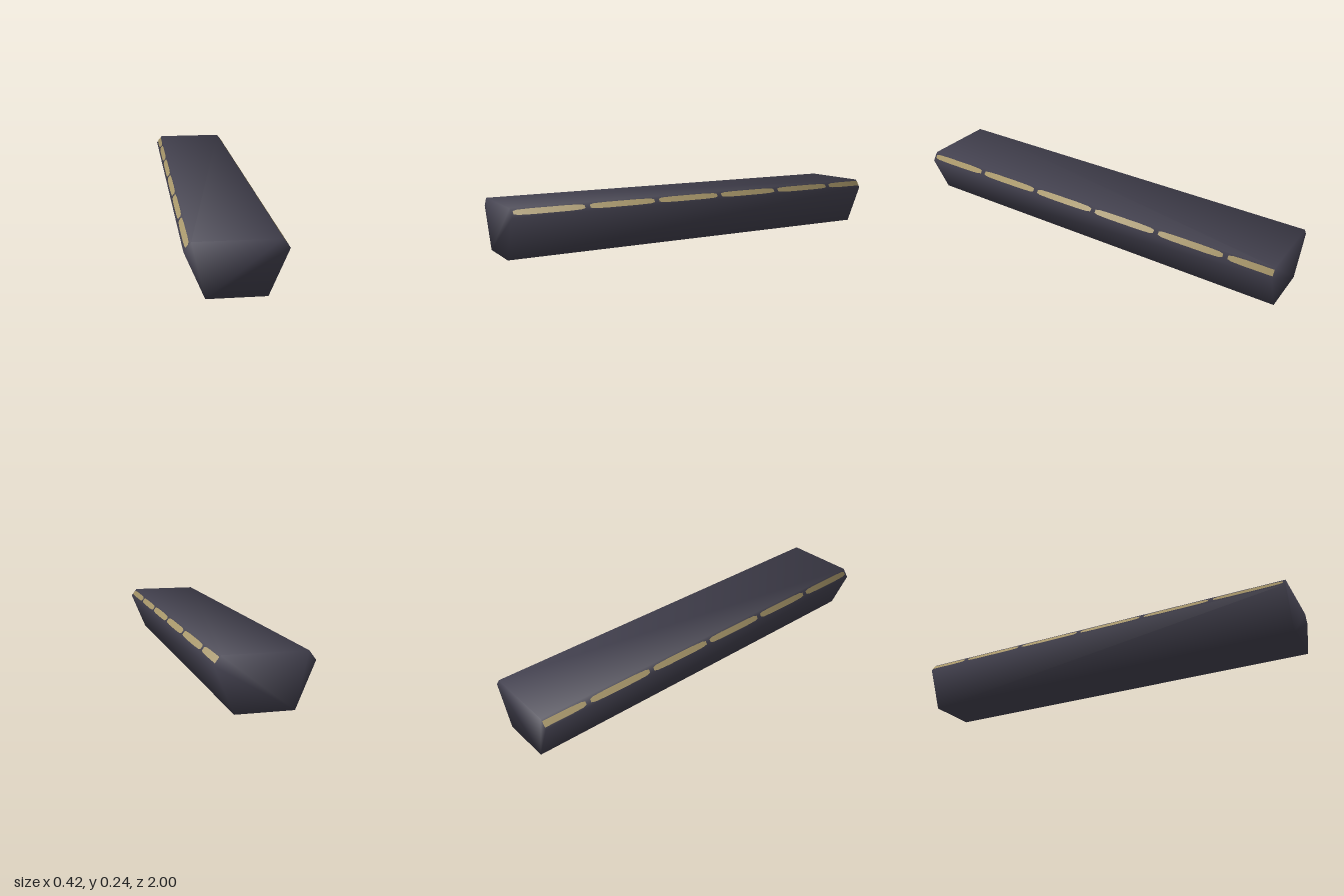
import * as THREE from 'three';

const body = new THREE.MeshStandardMaterial({ color: 0x43414f });
body.name = 'dark slate';
const gold = new THREE.MeshStandardMaterial({ color: 0xa8976a });
gold.name = 'dull gold';

// Cross-section, counter-clockwise seen from the front
const PROFILE = [
  [-0.126, 0], [0.126, 0], [0.21, 0.2], [0.18, 0.24], [-0.18, 0.24], [-0.21, 0.2],
];
const N = PROFILE.length;

function edgeNormal(i) {
  const [ax, ay] = PROFILE[i], [bx, by] = PROFILE[(i + 1) % N];
  return new THREE.Vector3(by - ay, ax - bx, 0).normalize();
}

// Softly shaded prism: each corner shares the mean of its three face normals
function beamGeometry() {
  const positions = [], normals = [], index = [];
  for (const z of [1, -1]) {
    PROFILE.forEach(([x, y], i) => {
      positions.push(x, y, z);
      const n = edgeNormal(i).add(edgeNormal((i + N - 1) % N));
      n.z = z;
      normals.push(...n.normalize().toArray());
    });
  }
  for (let i = 0; i < N; i++) {
    const j = (i + 1) % N, ib = i + N, jb = j + N;
    if (i === 3) index.push(ib, jb, j, ib, j, i);
    else index.push(ib, jb, i, jb, j, i);
  }
  // End caps
  for (let i = 1; i < N - 1; i++) {
    index.push(0, i, i + 1, N, N + i + 1, N + i);
  }
  const g = new THREE.BufferGeometry();
  g.setAttribute('position', new THREE.Float32BufferAttribute(positions, 3));
  g.setAttribute('normal', new THREE.Float32BufferAttribute(normals, 3));
  g.setIndex(index);
  return g;
}

// One thin inlay lying on the bevel of the given side, with tapered ends
function inlayGeometry(side, zStart, length) {
  const taper = [[0, 0.16], [0.06, 0.26], [0.25, 0.3], [0.75, 0.3], [0.94, 0.26], [1, 0.16]];
  const point = ([f, h], sign) =>
    new THREE.Vector2(-side * (zStart - f * length), 0.52 + sign * h);
  const outline = [
    ...taper.map((p) => point(p, -1)),
    ...taper.slice().reverse().map((p) => point(p, 1)),
  ];
  const g = new THREE.ShapeGeometry(new THREE.Shape(outline));
  const pos = g.attributes.position, nor = g.attributes.normal;
  for (let i = 0; i < pos.count; i++) {
    const t = pos.getY(i);
    const z = THREE.MathUtils.clamp(-side * pos.getX(i), -1, 1);
    pos.setXYZ(i, side * (0.21 - 0.03 * t + 0.0012), 0.2 + 0.04 * t + 0.0009, z);
    const n = new THREE.Vector3(side * 0.8, 0.6, z * 0.6).normalize();
    nor.setXYZ(i, n.x, n.y, n.z);
  }
  return g;
}

export function createModel() {
  const model = new THREE.Group();
  model.name = 'trimmedBeam';

  const beam = new THREE.Mesh(beamGeometry(), body);
  beam.name = 'beam';
  model.add(beam);

  // Row of inlays along both bevels; the last one is cut off by the back end
  for (const side of [1, -1]) {
    const trim = new THREE.Group();
    trim.name = side > 0 ? 'leftTrim' : 'rightTrim';
    for (let k = 0; k < 6; k++) {
      const inlay = new THREE.Mesh(inlayGeometry(side, 0.99 - k * 0.355, 0.33), gold);
      inlay.name = 'trimInlay';
      trim.add(inlay);
    }
    model.add(trim);
  }
  return model;
}
